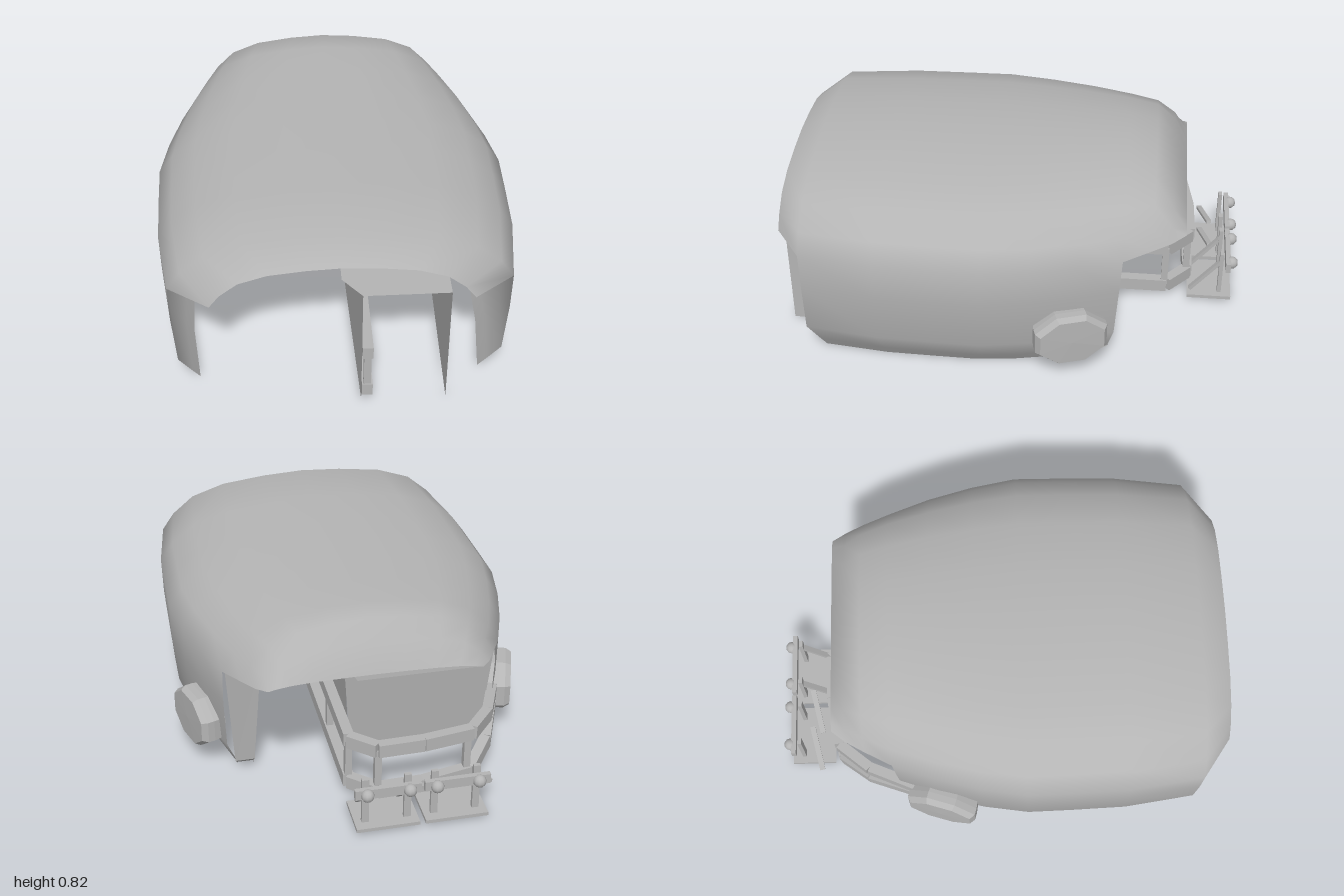
import * as THREE from 'three';
import { mergeGeometries, mergeVertices } from 'three/addons/utils/BufferGeometryUtils.js';

const grey = new THREE.MeshStandardMaterial({ color: 0xb4b4b4, side: THREE.DoubleSide });
grey.name = 'grey';

// Surface through rows of [x, y, z] points
function grid(rows) {
  const n = rows[0].length, index = [];
  for (let i = 0; i < rows.length - 1; i++)
    for (let j = 0; j < n - 1; j++) {
      const a = i * n + j, b = a + n;
      index.push(a, b, a + 1, b, b + 1, a + 1);
    }
  const g = new THREE.BufferGeometry();
  g.setAttribute('position', new THREE.Float32BufferAttribute(rows.flat(2), 3));
  g.setIndex(index);
  return g;
}

function add(parent, name, geometry, position = [0, 0, 0]) {
  const m = new THREE.Mesh(geometry, grey);
  m.name = name;
  m.position.set(...position);
  parent.add(m);
  return m;
}

function sheet(parent, name, rows) {
  const g = grid(rows).toNonIndexed();
  g.computeVertexNormals();
  return add(parent, name, g);
}

// Rectangular bar between two points
function beam(parent, name, p, q, w, h) {
  const a = new THREE.Vector3(...p), b = new THREE.Vector3(...q);
  const m = add(parent, name, new THREE.BoxGeometry(w, h, a.distanceTo(b)));
  m.position.copy(a).lerp(b, 0.5);
  m.lookAt(b);
  return m;
}

// Hood stations: z, half width, eave height, crown height
const stations = [
  [0.99, 0.53, 0.57, 0.75], [0.87, 0.70, 0.57, 0.82], [0.55, 0.745, 0.57, 0.825],
  [0.3, 0.752, 0.57, 0.825], [0.1, 0.755, 0.57, 0.825], [-0.1, 0.72, 0.565, 0.825],
  [-0.3, 0.665, 0.565, 0.825], [-0.48, 0.60, 0.56, 0.825], [-0.6, 0.54, 0.58, 0.815],
  [-0.68, 0.495, 0.59, 0.75], [-0.74, 0.45, 0.605, 0.63],
];
const arch = [[1, 0], [0.92, 0.32], [0.78, 0.65], [0.56, 0.86], [0.27, 0.96], [0, 1]];

function widthAt(z) {
  const i = Math.max(1, stations.findIndex(s => s[0] <= z));
  const [a, b] = [stations[i - 1], stations[i]];
  return THREE.MathUtils.mapLinear(z, a[0], b[0], a[1], b[1]);
}

function hoodGeometry() {
  const profile = [...arch, ...arch.slice(0, -1).reverse().map(([x, y]) => [-x, y])];
  const roof = grid(stations.map(([z, w, e, h]) =>
    profile.map(([x, y]) => [x * w, e + y * (h - e), z])));
  // Side wall levels: height, front z, rear z, width factor
  const levels = [[0.005, 0.81, -0.37, 0.84], [0.06, 0.83, -0.43, 0.885],
    [0.17, 0.87, -0.455, 0.97], [0.4, 0.87, -0.47, 0.995]];
  const sideRows = stations.slice(1, 8).map(([z, w, e]) => {
    const t = (0.87 - z) / 1.35;
    const row = levels.map(([y, zf, zr, k]) => {
      const lz = zf + (zr - zf) * t;
      return [k * widthAt(lz), y, lz];
    });
    return [...row, [w, e, z]];
  });
  const left = grid(sideRows);
  const right = grid(sideRows.map(r => r.map(([x, y, z]) => [-x, y, z]).reverse()));
  const g = mergeVertices(mergeGeometries([roof, left, right]));
  g.computeVertexNormals();
  return g;
}

export function createModel() {
  const model = new THREE.Group();
  model.name = 'hoodWithRail';
  add(model, 'hood', hoodGeometry());

  // Rear panels on both sides of the passage
  sheet(model, 'rearPanelRight', [
    [[0.08, 0.52, -0.475], [0.04, 0.06, -0.43], [0.04, 0.01, -0.37]],
    [[-0.59, 0.56, -0.478], [-0.555, 0.06, -0.43], [-0.54, 0.01, -0.37]]]);
  sheet(model, 'rearPanelLeft', [
    [[0.59, 0.56, -0.478], [0.555, 0.06, -0.43], [0.54, 0.01, -0.37]],
    [[0.435, 0.6, -0.475], [0.47, 0.06, -0.43], [0.47, 0.01, -0.37]]]);
  sheet(model, 'rearSoffit', [
    [[-0.43, 0.52, -0.475], [-0.43, 0.605, -0.735]],
    [[0.08, 0.52, -0.475], [0.08, 0.605, -0.735]]]);

  // Passage walls and ceiling
  sheet(model, 'passageWallRight', [
    [[0.08, 0.015, 0.99], [0.08, 0.6, 0.99]],
    [[0.04, 0.015, -0.4], [0.08, 0.6, -0.475]]]);
  sheet(model, 'passageWallLeft', [
    [[0.435, 0.015, 0.99], [0.435, 0.6, 0.99]],
    [[0.47, 0.015, -0.4], [0.435, 0.6, -0.475]]]);
  sheet(model, 'passageCeiling', [
    [[0.435, 0.6, 0.99], [0.08, 0.6, 0.99], [0.0, 0.61, 0.9]],
    [[0.435, 0.6, -0.475], [0.08, 0.6, -0.475], [0.0, 0.61, -0.475]]]);

  // Guard rail: two bars that run back and bend round to the right side
  const rail = new THREE.Group();
  rail.name = 'guardRail';
  model.add(rail);
  const path = [[0.105, 0.99], [0.105, -0.68], [0.0, -0.775], [-0.2, -0.77],
    [-0.42, -0.735], [-0.53, -0.6], [-0.63, -0.36]];
  const upper = [0.28, 0.28, 0.28, 0.28, 0.28, 0.27, 0.25];
  const lower = [0.07, 0.07, 0.07, 0.07, 0.08, 0.13, 0.19];
  for (const [name, ys] of [['upperBar', upper], ['lowerBar', lower]])
    for (let i = 0; i < path.length - 1; i++)
      beam(rail, name, [path[i][0], ys[i], path[i][1]],
        [path[i + 1][0], ys[i + 1], path[i + 1][1]], 0.045, 0.06);
  for (const [x, z] of [[0.105, 0.97], [0.105, 0.55], [0.105, 0.13], [0.105, -0.29],
    [0.105, -0.67], [0.0, -0.77], [-0.4, -0.735]])
    add(rail, 'railPost', new THREE.BoxGeometry(0.03, 0.2, 0.03), [x, 0.175, z]);

  // Octagonal side caps, tilted along the hood
  for (const s of [1, -1]) {
    const pivot = new THREE.Group();
    pivot.name = s > 0 ? 'leftCap' : 'rightCap';
    pivot.position.set(s * 0.685, 0.225, -0.27);
    pivot.rotation.y = s * 0.31;
    model.add(pivot);
    const profile = [[0.155, -0.055], [0.163, 0.0], [0.163, 0.03], [0.145, 0.055], [0, 0.058]]
      .map(([r, y]) => new THREE.Vector2(r, y));
    const g = new THREE.LatheGeometry(profile, 8).toNonIndexed();
    g.rotateY(Math.PI / 8).rotateZ(-s * Math.PI / 2).scale(1, 0.8, 1.04);
    g.computeVertexNormals();
    add(pivot, 'cap', g);
  }

  // Two rear foot plates with posts, struts, cross bar and knobs
  for (const x of [-0.295, 0.0]) {
    const foot = new THREE.Group();
    foot.name = 'footPlate';
    foot.position.x = x;
    model.add(foot);
    add(foot, 'plate', new THREE.BoxGeometry(0.27, 0.016, 0.2), [0, 0.027, -0.878]);
    add(foot, 'crossBar', new THREE.BoxGeometry(0.28, 0.045, 0.022), [0, 0.2, -0.955]);
    for (const s of [1, -1]) {
      const px = s * 0.09;
      add(foot, 'post', new THREE.BoxGeometry(0.03, 0.22, 0.018), [px, 0.14, -0.925]);
      beam(foot, 'strut', [px, 0.04, -0.79], [px, 0.2, -0.92], 0.024, 0.014);
      add(foot, 'knob', new THREE.SphereGeometry(0.028, 10, 8), [px, 0.2, -0.972]);
    }
  }
  return model;
}
